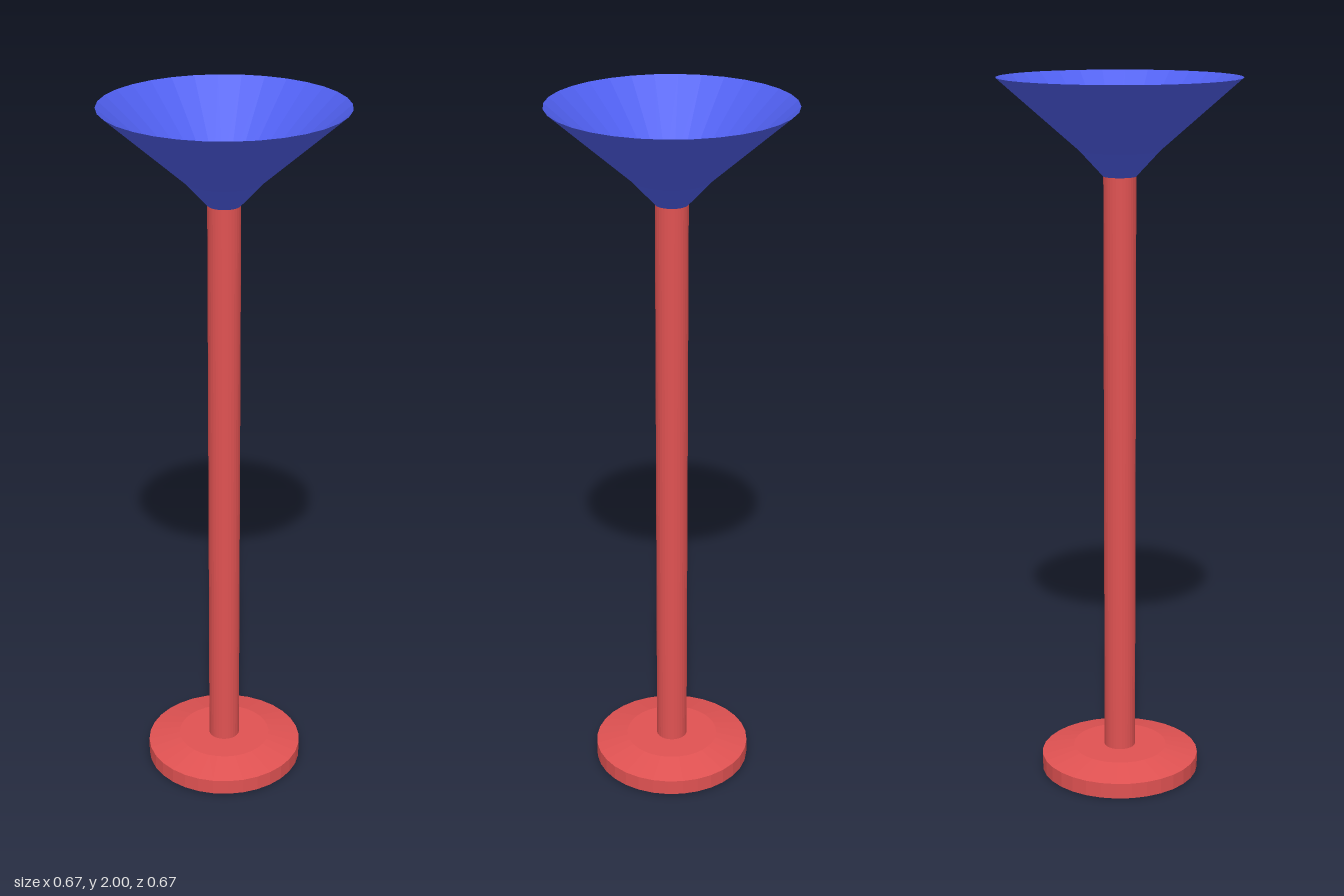
import * as THREE from 'three';

const SIDES = 32;

// Revolve a list of [radius, height] points around the y axis.
function turned(name, points, color, side = THREE.FrontSide) {
  const profile = points.map(([r, y]) => new THREE.Vector2(r, y));
  const material = new THREE.MeshStandardMaterial({ color, side, flatShading: true });
  const mesh = new THREE.Mesh(new THREE.LatheGeometry(profile, SIDES), material);
  mesh.name = name;
  return mesh;
}

export function createModel() {
  const group = new THREE.Group();
  group.name = 'floorLamp';
  const red = 0xe05252;
  const blue = 0x4f5fee;

  // Round foot with a sloped shoulder
  group.add(turned('base', [[0, 0], [0.228, 0], [0.228, 0.045], [0.135, 0.067], [0, 0.067]], red));

  // Straight post, closed at the top where it shows inside the shade
  group.add(turned('pole', [[0.045, 0.06], [0.045, 1.736], [0, 1.736]], red));

  // Thin open shade, steeper near the post
  group.add(turned('shade', [[0.045, 1.735], [0.11, 1.805], [0.333, 2]], blue, THREE.DoubleSide));

  return group;
}
